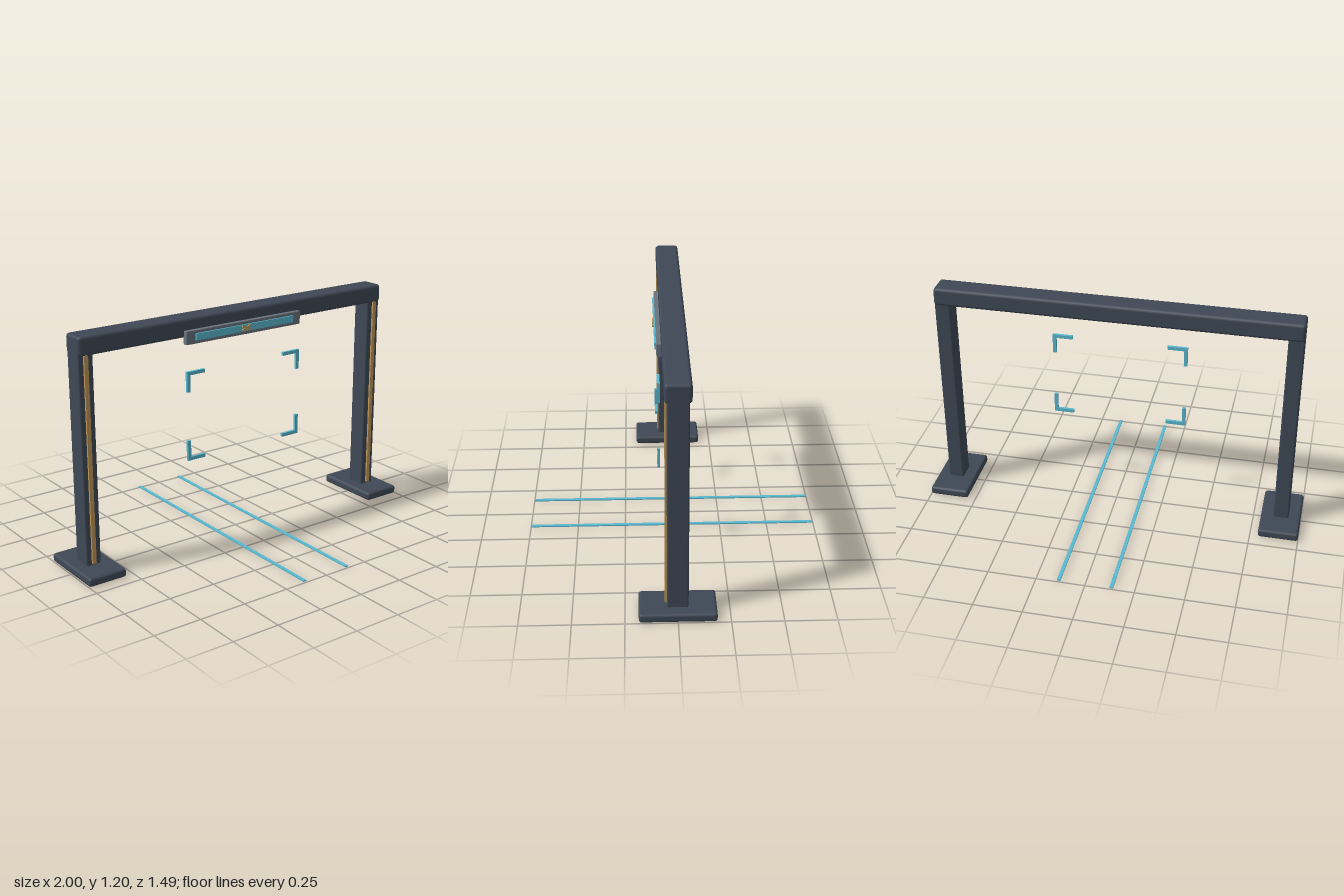
import * as THREE from 'three';
import { RoundedBoxGeometry } from 'three/addons/geometries/RoundedBoxGeometry.js';

export function createModel() {
  const model = new THREE.Group();
  model.name = 'gantryGate';

  const mat = (name, color) => {
    const m = new THREE.MeshStandardMaterial({ color });
    m.name = name;
    return m;
  };
  const slate = mat('slate', 0x3e4855);
  const grey = mat('housingGrey', 0x6a727d);
  const cyan = mat('cyan', 0x58b8d0);
  const gold = mat('gold', 0xbf9658);

  // Box given by its lower and upper corners, optionally rounded
  function box(name, material, [x0, y0, z0], [x1, y1, z1], radius = 0) {
    const size = [x1 - x0, y1 - y0, z1 - z0];
    const geometry = radius
      ? new RoundedBoxGeometry(...size, 2, radius)
      : new THREE.BoxGeometry(...size);
    const mesh = new THREE.Mesh(geometry, material);
    mesh.name = name;
    mesh.position.set((x0 + x1) / 2, (y0 + y1) / 2, (z0 + z1) / 2);
    model.add(mesh);
    return mesh;
  }

  // Top beam
  box('beam', slate, [-0.937, 1.105, -0.062], [0.937, 1.2, 0.062], 0.016);

  for (const s of [1, -1]) {
    const side = s > 0 ? 'left' : 'right';
    const span = (a, b) => [Math.min(s * a, s * b), Math.max(s * a, s * b)];

    // Foot, post and light strip
    let [a, b] = span(0.792, 1);
    box(side + 'Foot', slate, [a, 0, -0.185], [b, 0.045, 0.185], 0.014);
    [a, b] = span(0.857, 0.937);
    box(side + 'Post', slate, [a, 0.03, -0.051], [b, 1.17, 0.051], 0.008);
    [a, b] = span(0.888, 0.91);
    box(side + 'PostStrip', gold, [a, 0.053, 0.048], [b, 1.108, 0.061]);

    // Floor guide line
    [a, b] = span(0.125, 0.143);
    box(side + 'GuideLine', cyan, [a, 0.005, -0.747], [b, 0.011, 0.747]);

    // Corner brackets of the floating frame
    for (const t of [1, -1]) {
      const yMid = 0.704, half = 0.232;
      const place = (u, v) => [yMid + t * u, yMid + t * v].sort((p, q) => p - q);
      const corner = (t > 0 ? 'upper' : 'lower') + 'Bracket';
      let [y0, y1] = place(half - 0.018, half);
      [a, b] = span(0.248, 0.353);
      box(side + corner + 'Bar', cyan, [a, y0, 0.068], [b, y1, 0.082]);
      [y0, y1] = place(half - 0.105, half - 0.018);
      [a, b] = span(0.335, 0.353);
      box(side + corner + 'Upright', cyan, [a, y0, 0.068], [b, y1, 0.082]);
    }
  }

  // Sign housing with lit panel
  box('signHousing', grey, [-0.355, 1.073, 0.055], [0.355, 1.142, 0.084], 0.004);
  box('signPanel', cyan, [-0.303, 1.091, 0.082], [0.303, 1.126, 0.092]);

  // Small crossed ornament in the middle of the panel
  for (const s of [1, -1]) {
    const bar = box('ornamentBar', gold, [-0.028, 1.103, 0.091], [0.028, 1.114, 0.098]);
    bar.rotation.z = s * 0.45;
  }

  return model;
}
